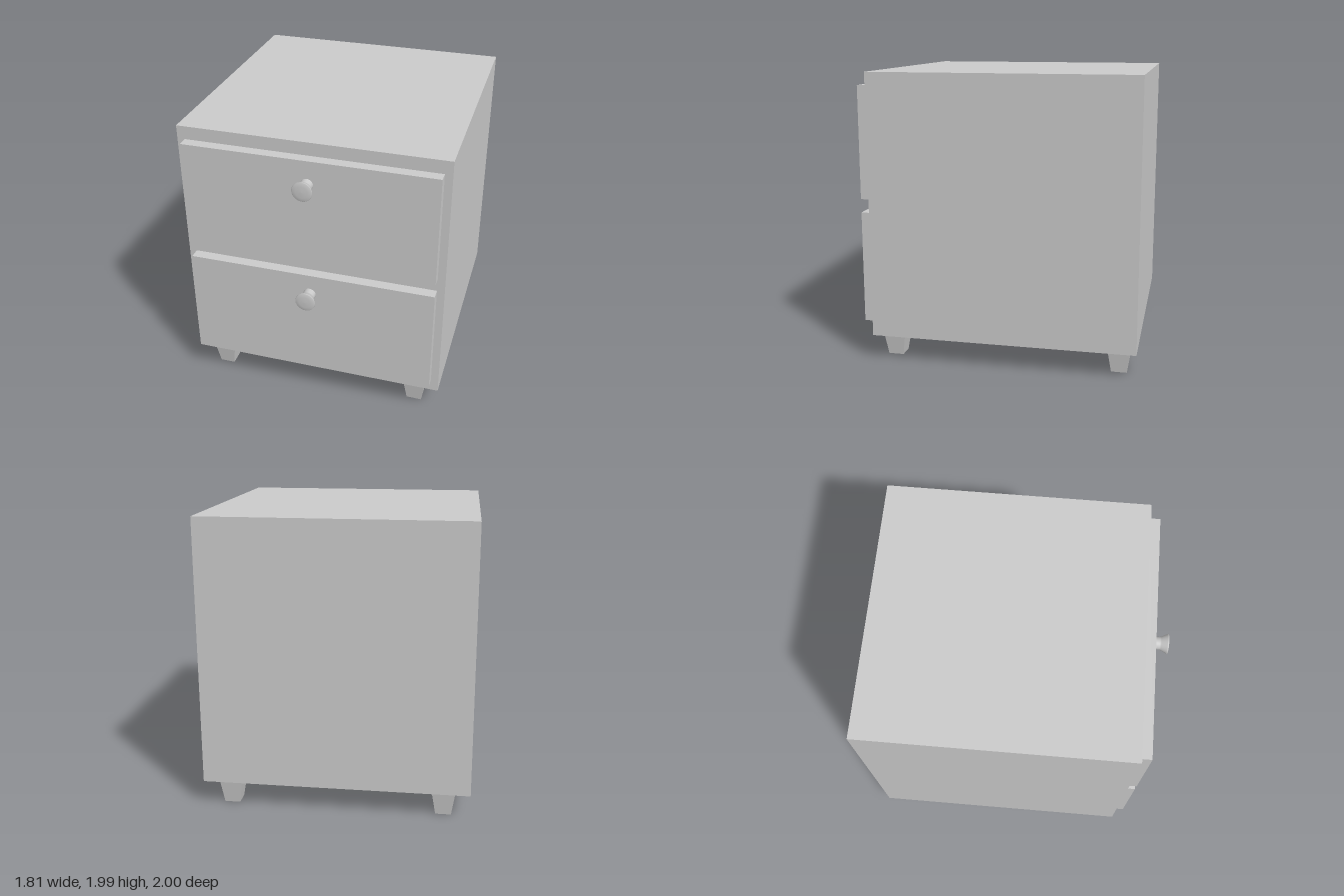
import * as THREE from 'three';

const material = new THREE.MeshStandardMaterial({ color: 0xcccccc });
const flatMaterial = new THREE.MeshStandardMaterial({ color: 0xcccccc, flatShading: true });

function addMesh(parent, name, geometry, x, y, z, mat = material) {
  const mesh = new THREE.Mesh(geometry, mat);
  mesh.name = name;
  mesh.position.set(x, y, z);
  parent.add(mesh);
  return mesh;
}

// Square tapered foot, wide at the top
function footGeometry(topHalf, bottomHalf, height) {
  return new THREE.CylinderGeometry(topHalf * Math.SQRT2, bottomHalf * Math.SQRT2, height, 4)
    .rotateY(Math.PI / 4);
}

// Turned knob: straight stem, flared head, slightly domed face, pointing to +z
function knobGeometry() {
  const profile = [
    [0.043, 0], [0.043, 0.043], [0.047, 0.052], [0.066, 0.09], [0.069, 0.096],
    [0.066, 0.1], [0.04, 0.104], [0, 0.105],
  ].map(([r, h]) => new THREE.Vector2(r, h));
  return new THREE.LatheGeometry(profile, 32).rotateX(Math.PI / 2);
}

export function createModel() {
  const group = new THREE.Group();
  group.name = 'nightstand';

  // Cabinet body
  addMesh(group, 'cabinet', new THREE.BoxGeometry(1.814, 1.815, 1.82), 0, 1.0825, -0.09);

  // Two drawers, each with a knob above its middle
  const frontGeo = new THREE.BoxGeometry(1.71, 0.772, 0.075);
  const knobGeo = knobGeometry();
  [['upperDrawer', 1.513], ['lowerDrawer', 0.648]].forEach(([name, y], i) => {
    const drawer = new THREE.Group();
    drawer.name = name;
    drawer.position.set(0, y, 0);
    addMesh(drawer, 'drawerFront', frontGeo, 0, 0, 0.8575);
    addMesh(drawer, 'knob', knobGeo, 0, i === 0 ? 0.219 : 0.237, 0.895);
    group.add(drawer);
  });

  // Four feet
  const footGeo = footGeometry(0.08, 0.053, 0.175);
  for (const [side, x] of [['left', 0.728], ['right', -0.728]]) {
    addMesh(group, side + 'FrontFoot', footGeo, x, 0.0875, 0.7, flatMaterial);
    addMesh(group, side + 'BackFoot', footGeo, x, 0.0875, -0.878, flatMaterial);
  }

  return group;
}
